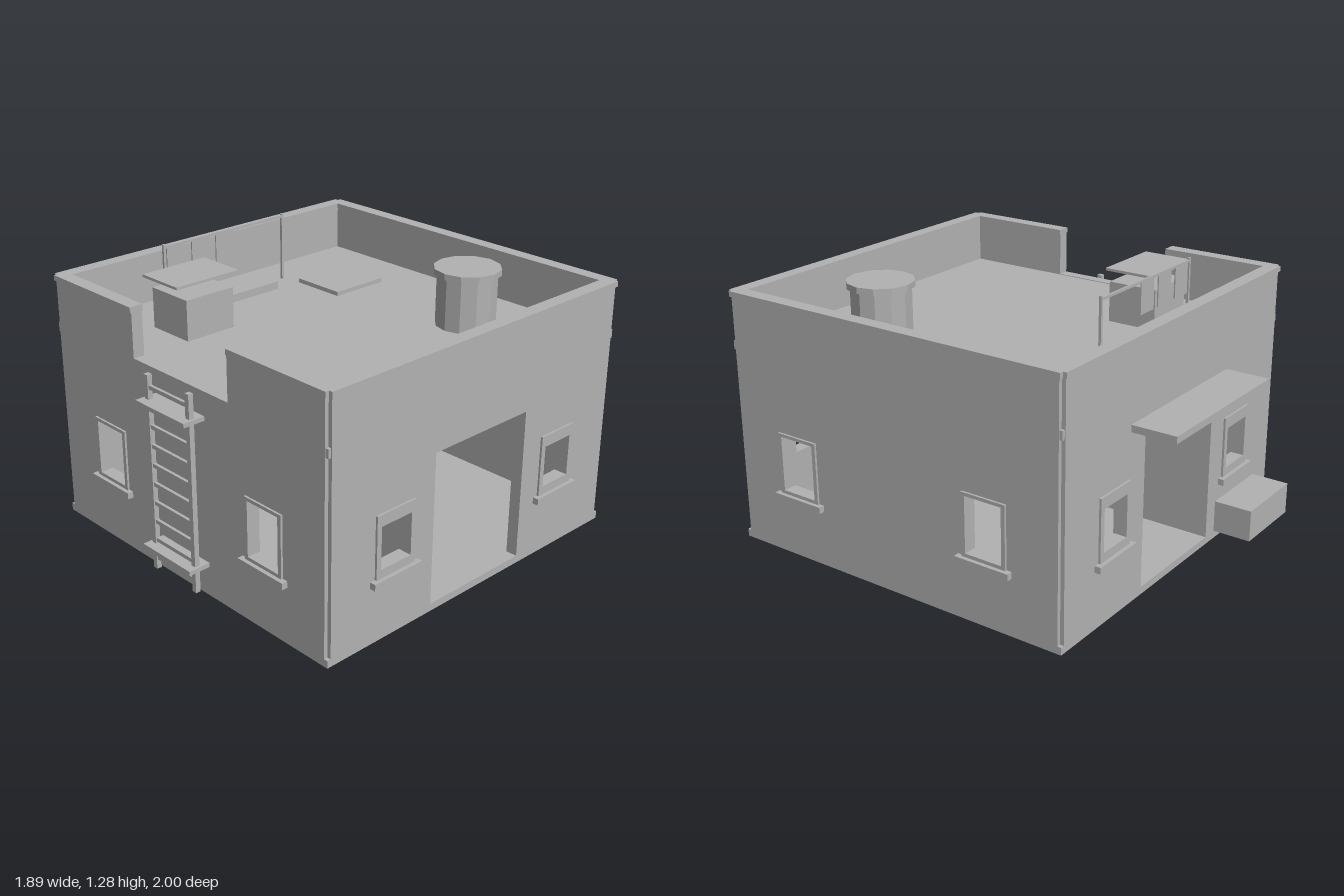
import * as THREE from 'three';

export function createModel() {
  const root = new THREE.Group();
  const plaster = new THREE.MeshStandardMaterial({ color: 0xb2b2b2, name: 'grey plaster' });

  function add(name, geo, parent = root) {
    const m = new THREE.Mesh(geo, plaster);
    m.name = name;
    parent.add(m);
    return m;
  }
  // Box given by its minimum and maximum on each axis
  function box(name, x0, x1, y0, y1, z0, z1, parent = root) {
    const m = add(name, new THREE.BoxGeometry(x1 - x0, y1 - y0, z1 - z0), parent);
    m.position.set((x0 + x1) / 2, (y0 + y1) / 2, (z0 + z1) / 2);
    return m;
  }
  const rect = (a, b, c, d) => [[a, c], [b, c], [b, d], [a, d]];
  const vecs = (pts) => pts.map(([x, y]) => new THREE.Vector2(x, y));
  // Flat panel with openings, extruded along local z
  function panel(name, outline, holes, z, depth, parent) {
    const shape = new THREE.Shape(vecs(outline));
    for (const h of holes) shape.holes.push(new THREE.Path(vecs(h)));
    const m = add(name, new THREE.ExtrudeGeometry(shape, { depth, bevelEnabled: false }), parent);
    m.position.z = z;
    return m;
  }

  const X0 = -0.84, X1 = 0.915, Z0 = -0.79, Z1 = 0.97; // outer wall faces
  const T = 0.055, N = 0.018, FLOOR = 0.035, ROOF = 0.955, TOP = 1.16, CAP = 1.185;
  const GAP0 = -0.215, GAP1 = 0.4; // parapet gap above the ladder

  // Floor and roof slabs
  box('floor', X0, X1, 0, FLOOR, Z0, Z1);
  box('roof', X0 + 0.02, X1 - 0.02, ROOF - 0.05, ROOF - 0.003, Z0 + 0.02, Z1 - 0.02);

  // Wall window: frame and sill on the outer side (dir = +1 or -1 in local z)
  function windowTrim(parent, u, open, face, dir) {
    const g = new THREE.Group();
    g.name = 'window';
    parent.add(g);
    const out = 0.01, sill = 0.028;
    panel('windowFrame', rect(u - 0.11, u + 0.11, 0.29, 0.583), [open],
      dir > 0 ? face : face - out, out, g);
    box('windowSill', u - 0.135, u + 0.135, 0.265, 0.295,
      dir > 0 ? face : face - sill, dir > 0 ? face + sill : face, g);
  }

  // Front and back walls with a doorway and two windows each
  const frontOpen = (u) => rect(u - 0.085, u + 0.085, 0.335, 0.53);
  const frontU = [-0.473, 0.548];
  const longWall = [[X0 + N, FLOOR], [-0.245, FLOOR], [-0.245, 0.74], [0.32, 0.74], [0.32, FLOOR],
    [X1 - N, FLOOR], [X1 - N, TOP], [X0 + N, TOP]];
  for (const [name, z, face, dir] of [['frontWall', Z1 - T, Z1, 1], ['backWall', Z0, Z0, -1]]) {
    panel(name, longWall, frontU.map(frontOpen), z, T, root);
    frontU.forEach((u) => windowTrim(root, u, frontOpen(u), face, dir));
  }

  // Side walls, drawn with u = -z and turned to face sideways
  const sides = new THREE.Group();
  sides.name = 'sideWalls';
  sides.rotation.y = Math.PI / 2;
  root.add(sides);
  const sideOpen = (u) => rect(u - 0.091, u + 0.091, 0.311, 0.568);
  const sideU = [-0.605, 0.415];
  const a = -Z1 + N, b = -Z0 - N;
  const rightOutline = rect(a, b, FLOOR, TOP);
  const leftOutline = [[a, FLOOR], [b, FLOOR], [b, TOP], [-GAP0, TOP], [-GAP0, ROOF],
    [-GAP1, ROOF], [-GAP1, TOP], [a, TOP]];
  panel('leftWall', rightOutline, sideU.map(sideOpen), X1 - T, T, sides);
  panel('rightWall', leftOutline, sideU.map(sideOpen), X0, T, sides);
  sideU.forEach((u) => {
    windowTrim(sides, u, sideOpen(u), X1, 1);
    windowTrim(sides, u, sideOpen(u), X0, -1);
  });

  // Inner partition with a wide opening in the middle
  box('partitionFront', -0.3, -0.245, FLOOR, ROOF - 0.05, GAP1, Z1 - T);
  box('partitionBack', -0.3, -0.245, FLOOR, ROOF - 0.05, Z0 + T, GAP0);

  // Parapet coping
  const cx0 = -0.846, cx1 = 0.922, cz0 = -0.798, cz1 = 0.977, W = 0.066;
  box('copingFront', cx0 + N, cx1 - N, TOP, CAP, cz1 - W, cz1);
  box('copingBack', cx0 + N, cx1 - N, TOP, CAP, cz0, cz0 + W);
  box('copingLeft', cx1 - W, cx1, TOP, CAP, cz0 + N, cz1 - N);
  box('copingRightFront', cx0, cx0 + W, TOP, CAP, GAP1, cz1 - N);
  box('copingRightBack', cx0, cx0 + W, TOP, CAP, cz0 + N, GAP0);

  // Small blocks in the corner grooves at roof level
  for (const x of [X0 + 0.013, X1 - 0.013])
    for (const z of [Z0 + 0.013, Z1 - 0.013])
      box('cornerBlock', x - 0.009, x + 0.009, 0.915, ROOF, z - 0.009, z + 0.009);

  // Water tank
  const tank = add('waterTank', new THREE.CylinderGeometry(0.138, 0.138, 0.245, 12).toNonIndexed());
  tank.position.set(0.496, ROOF + 0.12, 0.464);
  const lid = add('tankLid', new THREE.CylinderGeometry(0.153, 0.153, 0.028, 12).toNonIndexed());
  lid.position.set(0.496, 1.207, 0.464);
  for (const m of [tank, lid]) m.geometry.computeVertexNormals();

  // Rooftop box with shade board, bar and hatch
  box('roofBox', -0.55, -0.29, ROOF - 0.01, 1.14, -0.455, -0.215);
  box('shadeBoard', -0.6, -0.255, 1.2, 1.212, -0.455, -0.215);
  box('roofBar', -0.457, 0.19, ROOF - 0.01, 0.99, -0.49, -0.455);
  box('roofHatch', 0.327, 0.627, ROOF - 0.01, 0.972, -0.455, -0.185);

  // Washing line
  for (const x of [-0.404, 0.308])
    box('linePost', x - 0.006, x + 0.006, ROOF - 0.01, 1.282, -0.561, -0.549);
  box('lineRail', -0.404, 0.308, 1.262, 1.274, -0.56, -0.55);
  for (const x of [-0.337, -0.194, -0.052])
    box('cloth', x - 0.053, x + 0.053, 1.12, 1.265, -0.558, -0.552);

  // Back canopy and storage chest
  box('canopy', -0.36, 0.433, 0.788, 0.82, -1, Z0 + 0.01);
  box('chest', -0.69, -0.32, 0.037, 0.187, -0.973, Z0 + 0.005);

  // Ladder below the parapet gap
  const ladder = new THREE.Group();
  ladder.name = 'ladder';
  root.add(ladder);
  for (const z of [-0.045, 0.225])
    box('ladderRail', -0.907, -0.883, 0.035, 0.955, z - 0.012, z + 0.012, ladder);
  for (let i = 0; i < 10; i++) {
    const y = 0.09 + i * 0.09;
    box('ladderRung', -0.902, -0.888, y - 0.009, y + 0.009, -0.045, 0.225, ladder);
  }
  for (const y of [0.152, 0.835])
    box('ladderBracket', -0.947, X0 + 0.005, y - 0.01, y + 0.01, -0.07, 0.25, ladder);

  return root;
}
